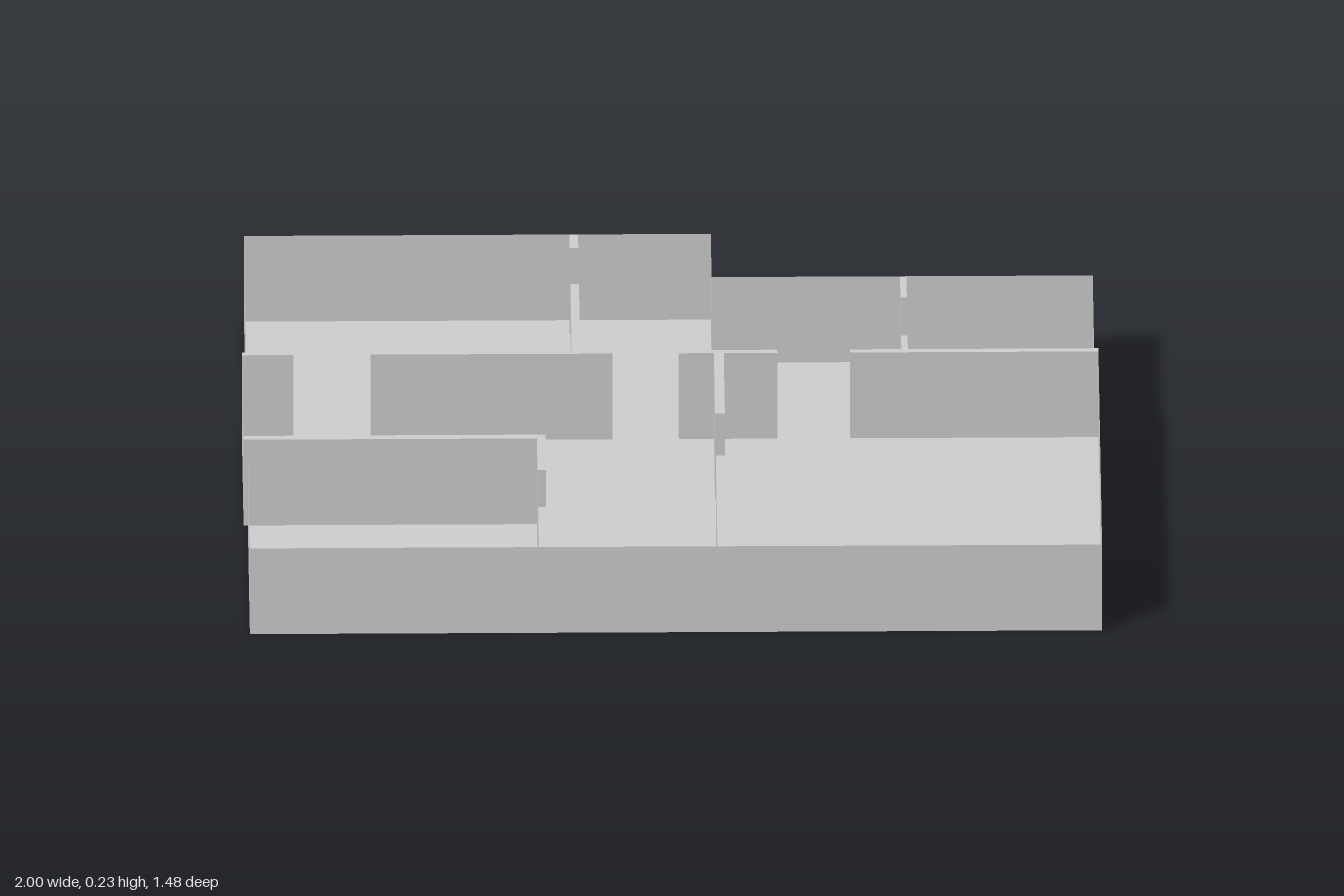
import * as THREE from 'three';

const H = 0.23;

// Partition footprints [x, z] that grow out of the outer wall, each starting and ending on it
const backStub = [[-0.23, -0.74], [-0.23, -0.675], [-0.21, -0.675], [-0.21, -0.74]];
const backLeftStub = [[0.54, -0.535], [0.54, -0.435], [0.555, -0.435], [0.555, -0.535]];
const leftWall = [[1, -0.19], [0.555, -0.19], [0.555, -0.255], [0.54, -0.255],
  [0.54, -0.19], [0.42, -0.19], [0.42, -0.175], [1, -0.175]];
const frontWall = [[0.125, 0.74], [0.125, 0.31], [0.102, 0.31], [0.102, 0.74]];
const frontStub = [[-0.295, 0.74], [-0.295, 0.55], [-0.315, 0.55], [-0.315, 0.74]];
const rightWall = [[-1, 0.225], [-0.315, 0.225], [-0.315, 0.375], [-0.295, 0.375],
  [-0.295, 0.207], [-1, 0.207]];
const rightStub = [[-1, -0.175], [-0.88, -0.175], [-0.88, -0.188], [-1, -0.188]];

// Free-standing T-shaped partitions
const middleWall = [[-0.7, -0.188], [-0.23, -0.188], [-0.23, -0.505], [-0.21, -0.505],
  [-0.21, -0.188], [-0.135, -0.188], [-0.135, -0.175], [-0.7, -0.175]];
const hallWall = [[0.02, -0.19], [0.25, -0.19], [0.25, -0.175], [0.125, -0.175],
  [0.125, 0.11], [0.102, 0.11], [0.102, -0.175], [0.02, -0.175]];

const attached = { backStub, backLeftStub, leftWall, frontWall, frontStub, rightWall, rightStub };
const freeStanding = { middleWall, hallWall };

// Walk round the building; corners are points, partitions are whole paths
const circuit = [
  [[-0.99, -0.74]], backStub, [[0.1, -0.74], [0.1, -0.535]], backLeftStub,
  [[0.99, -0.535], [0.99, -0.19]], leftWall, [[1, 0.74]], frontWall, frontStub,
  [[-0.99, 0.74], [-0.99, 0.225]], rightWall, rightStub, [[-0.99, -0.188]],
];

const toVectors = (path) => path.map(([x, z]) => new THREE.Vector2(x, -z));

// Horizontal sheet at height y
function sheet(path, y, holes = []) {
  const shape = new THREE.Shape(toVectors(path));
  shape.holes = holes.map((h) => new THREE.Path(toVectors(h)));
  return new THREE.ShapeGeometry(shape).rotateX(-Math.PI / 2).translate(0, y, 0);
}

// Vertical wall surface following a closed path
function ribbon(path) {
  const pos = [];
  path.forEach(([x0, z0], i) => {
    const [x1, z1] = path[(i + 1) % path.length];
    pos.push(x0, 0, z0, x1, H, z1, x1, 0, z1, x0, 0, z0, x0, H, z0, x1, H, z1);
  });
  const geo = new THREE.BufferGeometry();
  geo.setAttribute('position', new THREE.Float32BufferAttribute(pos, 3));
  geo.computeVertexNormals();
  return geo;
}

export function createModel() {
  const model = new THREE.Group();
  model.name = 'floorPlan';
  const material = new THREE.MeshStandardMaterial({ color: 0xcccccc, side: THREE.DoubleSide });
  const add = (parent, name, geometry) => {
    const mesh = new THREE.Mesh(geometry, material);
    mesh.name = name;
    parent.add(mesh);
  };

  // Floor, cut away beneath every partition
  add(model, 'floor', sheet(circuit.flat(), 0, Object.values(freeStanding)));

  // Thin outer wall, passing straight across the partition ends
  const isPartition = new Set(Object.values(attached));
  const outer = circuit.flatMap((p) => (isPartition.has(p) ? [p[0], p[p.length - 1]] : p));
  add(model, 'outerWall', ribbon(outer));

  // Hollow partitions with closed tops
  for (const [name, path] of Object.entries({ ...attached, ...freeStanding })) {
    const wall = new THREE.Group();
    wall.name = name;
    // The end against the outer wall is already covered by it
    add(wall, name + 'Sides', ribbon(path));
    add(wall, name + 'Top', sheet(path, H));
    model.add(wall);
  }
  return model;
}
